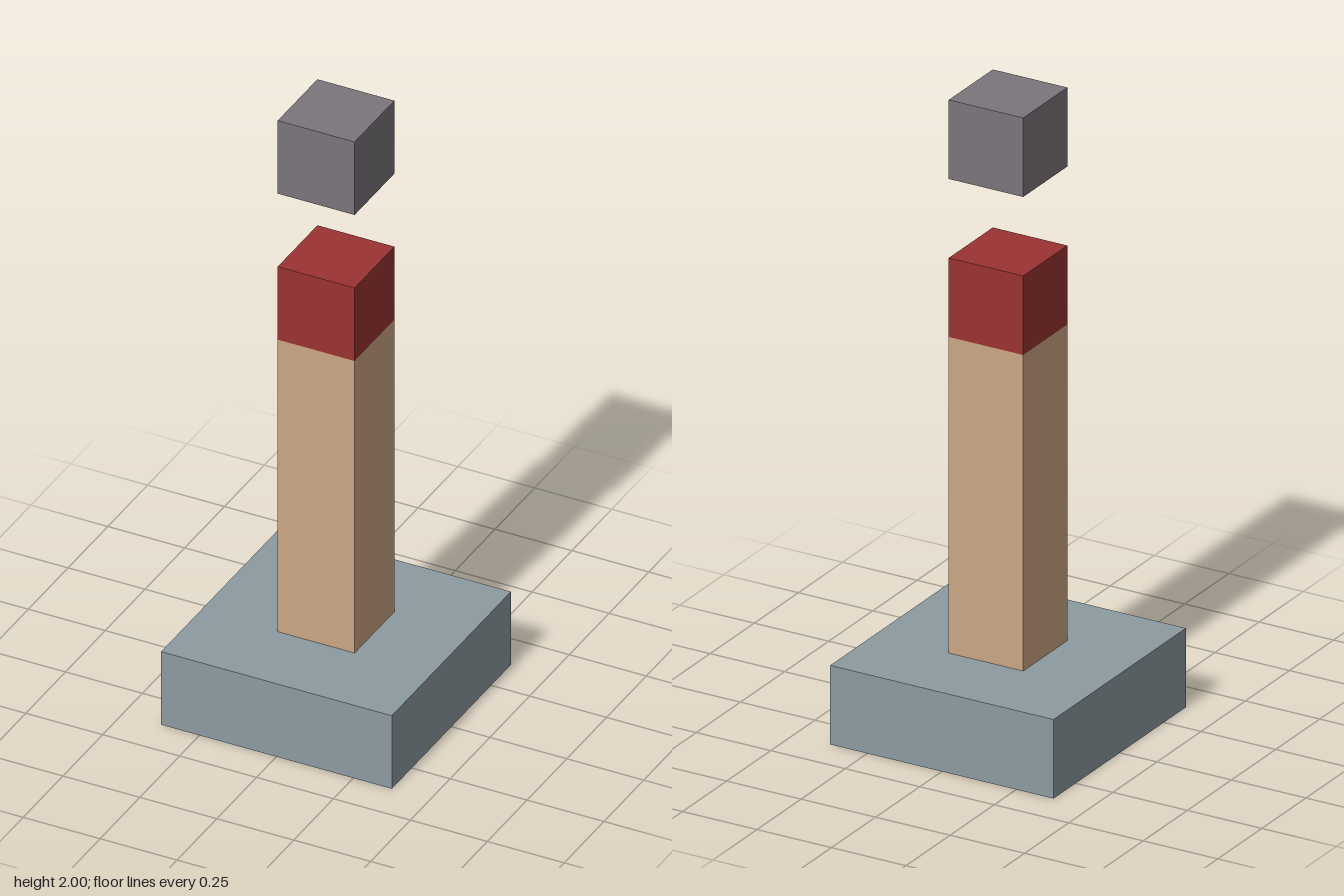
import * as THREE from 'three';

function makeMaterial(name, color) {
  const material = new THREE.MeshStandardMaterial({ color });
  material.name = name;
  return material;
}

export function createModel() {
  const model = new THREE.Group();
  model.name = 'post';

  const stone = makeMaterial('blue grey stone', 0x8c9ba1);
  const wood = makeMaterial('tan wood', 0xcba784);
  const red = makeMaterial('red paint', 0x9b3333);
  const grey = makeMaterial('warm grey', 0x7b757b);

  // Square block standing with its underside at the given height
  function addBlock(name, width, bottom, height, material) {
    const mesh = new THREE.Mesh(new THREE.BoxGeometry(width, height, width), material);
    mesh.name = name;
    mesh.position.y = bottom + height / 2;
    model.add(mesh);
  }

  addBlock('base', 0.75, 0, 0.25, stone);
  addBlock('shaft', 0.25, 0.25, 1, wood);
  addBlock('redTip', 0.25, 1.25, 0.25, red);
  // Cube hovering above the tip
  addBlock('floatingCube', 0.25, 1.75, 0.25, grey);

  return model;
}
